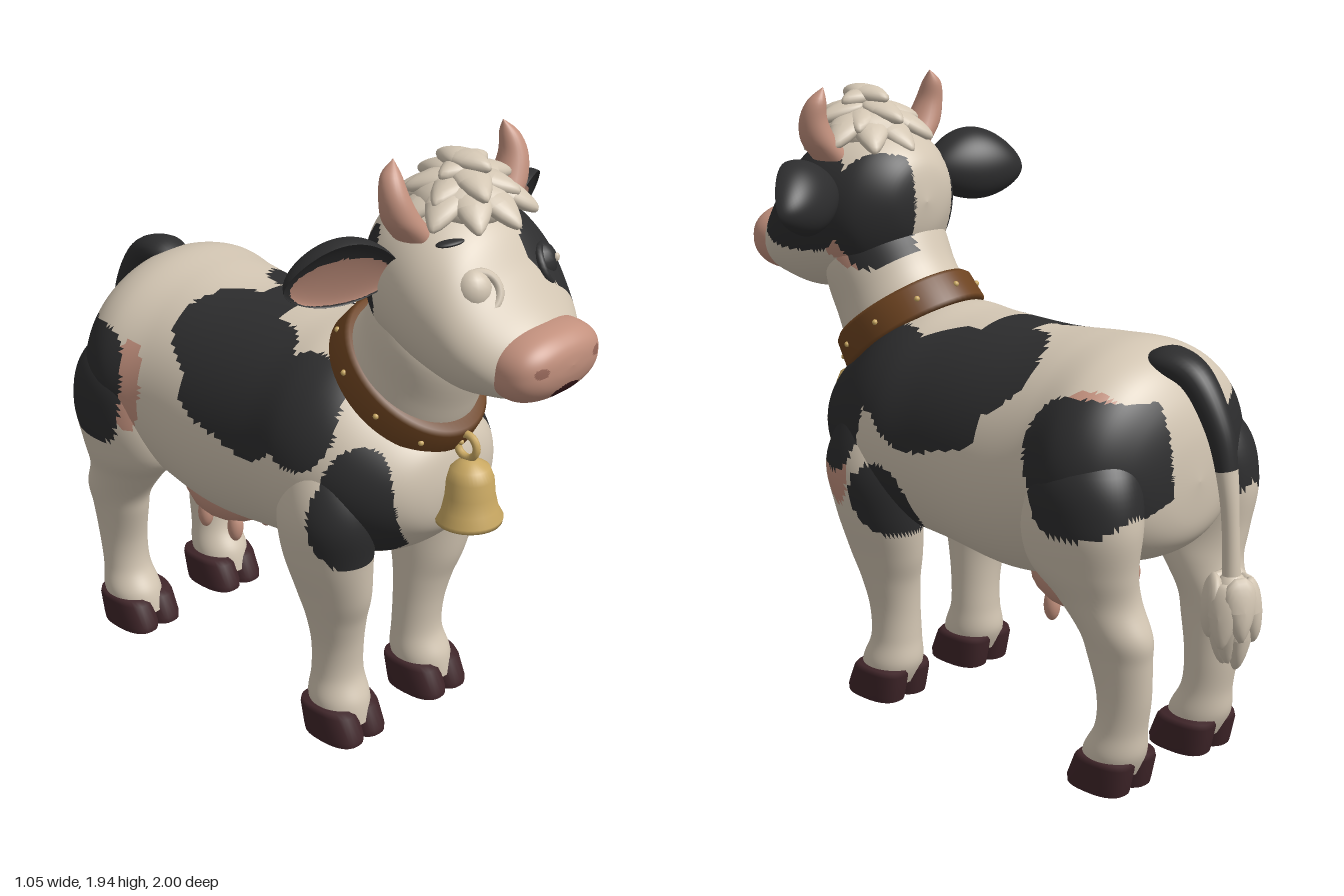
import * as THREE from 'three';

const mat = (name, color) => Object.assign(new THREE.MeshStandardMaterial({ color }), { name });
const cream = mat('cream hide', 0xd3c6b3), black = mat('black hide', 0x2d2d2e), pink = mat('pink skin', 0xc3917e),
  hoofMat = mat('hoof brown', 0x3f2529), leather = mat('collar leather', 0x6d4320), brass = mat('bell brass', 0xc9a862),
  mouthMat = mat('mouth dark', 0x3a1a1d), nostrilMat = mat('nostril', 0x9a6a5c);
const HIDE = [cream, black, pink];

// Smooth skin over elliptical rings [x, y, z, halfWidth, halfDepth, tiltDegrees]
function loft(sections, ring = 32, sub = 6, power = 1) {
  const pos = [], idx = [], rows = [], n = sections.length;
  const at = i => sections[Math.max(0, Math.min(n - 1, i))];
  for (let i = 0; i < n - 1; i++) for (let k = 0; k < sub; k++) {
    const t = k / sub, [p0, p1, p2, p3] = [at(i - 1), at(i), at(i + 1), at(i + 2)];
    rows.push(p1.map((b, c) => b + 0.5 * t * (p2[c] - p0[c] + t * (2 * p0[c] - 5 * b + 4 * p2[c] - p3[c]
      + t * (3 * (b - p2[c]) + p3[c] - p0[c])))));
  }
  rows.push(at(n - 1));
  const bend = v => Math.sign(v) * Math.abs(v) ** power;
  rows.forEach(([x, y, z, a, b, tilt], i) => {
    const r = tilt * Math.PI / 180;
    for (let j = 0; j < ring; j++) {
      const th = j / ring * Math.PI * 2;
      const u = Math.max(a, 0) * bend(Math.cos(th)), v = Math.max(b, 0) * bend(Math.sin(th));
      pos.push(x + u, y + v * Math.cos(r), z + v * Math.sin(r));
      if (i < rows.length - 1) {
        const p = i * ring + j, q = i * ring + (j + 1) % ring;
        idx.push(p, q, p + ring, q, q + ring, p + ring);
      }
    }
  });
  const g = new THREE.BufferGeometry();
  g.setAttribute('position', new THREE.Float32BufferAttribute(pos, 3));
  g.setIndex(idx);
  g.computeVertexNormals();
  return g;
}

// Sorts triangles into material groups by a rule on their centres
function paint(g, rule) {
  const p = g.attributes.position, old = g.index.array, buckets = [[], [], []];
  for (let i = 0; i < old.length; i += 3) {
    const t = [old[i], old[i + 1], old[i + 2]];
    const mid = f => t.reduce((s, v) => s + p[f](v), 0) / 3;
    buckets[rule(mid('getX'), mid('getY'), mid('getZ'))].push(...t);
  }
  g.setIndex(buckets.flat());
  let start = 0;
  buckets.forEach((b, m) => { g.addGroup(start, b.length, m); start += b.length; });
  return g;
}

// Hide patches: [side (0 = both), z, y, radiusZ, radiusY, colour, optional x and radiusX]
const BODY_PATCHES = [
  [0, 0.0, 1.09, 0.24, 0.17, 1], [0, -0.17, 1.18, 0.18, 0.14, 1, 0.2, 0.22], [0, 0.2, 1.12, 0.15, 0.12, 1],
  [0, -0.1, 1.28, 0.08, 0.05, 1], [1, 0.38, 1.0, 0.14, 0.21, 1], [1, 0.18, 0.72, 0.1, 0.125, 1],
  [1, -0.62, 1.01, 0.2, 0.2, 1], [-1, 0.45, 0.84, 0.1, 0.2, 1], [-1, 0.27, 1.05, 0.1, 0.12, 1],
  [-1, -0.62, 0.95, 0.17, 0.21, 1], [1, 0.36, 0.8, 0.06, 0.12, 2], [1, -0.6, 1.12, 0.1, 0.1, 2],
  [-1, -0.45, 0.97, 0.06, 0.14, 2],
];
const HEAD_PATCHES = [
  [1, 0.66, 1.59, 0.215, 0.185, 1, 0.25, 0.26], [1, 0.39, 1.56, 0.12, 0.17, 1], [-1, 0.42, 1.57, 0.06, 0.13, 1],
  [1, 0.44, 1.45, 0.1, 0.06, 2],
];
const hide = (patches, gap) => (x, y, z) => {
  for (const [side, pz, py, rz, ry, m, px = 0, rx = Infinity] of patches) {
    if (side && x * side < gap) continue;
    const wobble = 0.1 * Math.sin(17 * z + 3) * Math.sin(15 * y);
    if (Math.hypot((z - pz) / rz, (y - py) / ry, (Math.abs(x) - px) / rx) + wobble < 1) return m;
  }
  return 0;
};
const bodyHide = hide(BODY_PATCHES, 0.11), headHide = hide(HEAD_PATCHES, 0.045);

export function createModel() {
  const cow = new THREE.Group();
  cow.name = 'cow';
  const add = (name, geo, material, parent = cow) => {
    const m = new THREE.Mesh(geo, material);
    m.name = name;
    parent.add(m);
    return m;
  };
  const blob = (name, material, x, y, z, sx, sy, sz) => {
    const m = add(name, new THREE.SphereGeometry(1, 18, 12), material);
    m.position.set(x, y, z);
    m.scale.set(sx, sy, sz);
    return m;
  };

  // Torso, from rump to chest
  add('torso', paint(loft([
    [0, 0.93, -0.785, 0, 0, 0], [0, 0.93, -0.77, 0.14, 0.14, 0], [0, 0.95, -0.73, 0.26, 0.23, 0],
    [0, 0.97, -0.66, 0.35, 0.295, 0], [0, 0.97, -0.55, 0.393, 0.335, 0], [0, 0.93, -0.4, 0.37, 0.37, 0],
    [0, 0.9, -0.2, 0.37, 0.38, 0], [0, 0.91, 0.05, 0.36, 0.37, 0], [0, 0.92, 0.2, 0.37, 0.365, 0],
    [0, 0.915, 0.32, 0.35, 0.335, 0], [0, 0.89, 0.45, 0.3, 0.255, 0], [0, 0.89, 0.54, 0.23, 0.185, 0],
    [0, 0.89, 0.59, 0.14, 0.12, 0], [0, 0.89, 0.615, 0, 0, 0]], 136, 9), bodyHide), HIDE);
  add('neck', paint(loft([
    [0, 0.93, 0.2, 0.28, 0.28, -45], [0, 1.05, 0.31, 0.24, 0.255, -50], [0, 1.17, 0.385, 0.21, 0.23, -53],
    [0, 1.27, 0.45, 0.2, 0.21, -53], [0, 1.42, 0.52, 0.2, 0.19, -53], [0, 1.5, 0.55, 0.1, 0.1, -53]], 72, 7), headHide), HIDE);

  // Head, and muzzle with mouth and nostrils
  add('head', paint(loft([
    [0, 1.58, 0.315, 0, 0, 0], [0, 1.58, 0.34, 0.12, 0.12, 0], [0, 1.555, 0.42, 0.215, 0.22, 0],
    [0, 1.55, 0.52, 0.255, 0.25, 0], [0, 1.53, 0.62, 0.27, 0.26, 0], [0, 1.49, 0.72, 0.262, 0.24, 0],
    [0, 1.44, 0.8, 0.235, 0.18, 0], [0, 1.4, 0.87, 0.185, 0.125, 0], [0, 1.39, 0.93, 0.1, 0.07, 0]], 112, 8), headHide), HIDE);
  add('muzzle', paint(loft([
    [0, 1.39, 0.82, 0.14, 0.09, 0], [0, 1.39, 0.855, 0.176, 0.105, 0], [0, 1.39, 0.905, 0.181, 0.108, 0],
    [0, 1.395, 0.95, 0.166, 0.094, 0], [0, 1.4, 0.98, 0.13, 0.068, 0], [0, 1.405, 0.995, 0.075, 0.036, 0],
    [0, 1.405, 1, 0, 0, 0]], 96, 8, 0.84), (x, y, z) => {
    if (z < 0.88) return 0;
    if (Math.hypot(x / 0.055, (y - 1.325) / 0.024) < 1) return 1;
    return Math.hypot((Math.abs(x) - 0.115) / 0.022, (y - 1.41) / 0.015) < 1 ? 2 : 0;
  }), [pink, mouthMat, nostrilMat]);

  // Leaf-shaped lock of hair, pointing along +z
  const lockGeo = new THREE.SphereGeometry(1, 14, 12);
  const lp = lockGeo.attributes.position;
  for (let i = 0; i < lp.count; i++) lp.setX(i, lp.getX(i) * (1 - 0.5 * lp.getZ(i)));
  lockGeo.computeVertexNormals();
  const locks = (name, x, y, z, rings) => {
    const g = new THREE.Group();
    g.name = name;
    g.position.set(x, y, z);
    cow.add(g);
    rings.forEach(([n, r, h, pitch, w, t, len], k) => {
      for (let i = 0; i < n; i++) {
        const turn = new THREE.Group();
        turn.rotation.y = (i + k * 0.5) / n * Math.PI * 2;
        g.add(turn);
        const m = add('lock', lockGeo, cream, turn);
        m.position.set(0, h + 0.012 * Math.sin(i * 2.4), r);
        m.rotation.x = pitch;
        m.scale.set(w, t, len);
      }
    });
  };
  locks('forelock', 0.01, 1.79, 0.575, [
    [10, 0.14, -0.005, 0.55, 0.052, 0.027, 0.085], [7, 0.085, 0.045, 0.3, 0.05, 0.027, 0.085],
    [4, 0.03, 0.09, 0.1, 0.045, 0.027, 0.07]]);
  blob('hairBase', cream, 0.01, 1.78, 0.575, 0.15, 0.085, 0.15);

  // Cupped ear with a pink inside
  const earGeo = new THREE.SphereGeometry(1, 64, 40);
  const ep = earGeo.attributes.position;
  for (let i = 0; i < ep.count; i++) {
    const x = ep.getX(i), z = ep.getZ(i);
    ep.setXYZ(i, x * 0.172, ep.getY(i) * 0.118 * (1 - 0.25 * x * x) - 0.02 * x * x, (z > 0 ? -z * 0.2 : z) * 0.095);
  }
  earGeo.computeVertexNormals();
  paint(earGeo, (x, y, z) => (x / 0.172) ** 2 + ((y + 0.032) / 0.092) ** 2 < 0.76 && z > -0.0195 ? 2 : 1);

  const legTilt = rows => rows.map(r => [...r, 90]);
  for (const s of [1, -1]) {
    const side = s > 0 ? 'left' : 'right';
    const flip = rows => rows.map(([x, ...r]) => [x * s, ...r]);

    const ear = new THREE.Group();
    ear.name = side + 'Ear';
    ear.scale.x = s;
    cow.add(ear);
    const earMesh = add('ear', earGeo, HIDE, ear);
    earMesh.position.set(0.37, 1.625, 0.485);
    earMesh.rotation.set(0.4, 0.4, -0.03, 'YXZ');

    add(side + 'Horn', loft(flip([
      [0.17, 1.71, 0.56, 0.06, 0.062, -90], [0.222, 1.77, 0.56, 0.055, 0.058, -90], [0.248, 1.84, 0.555, 0.042, 0.045, -90],
      [0.246, 1.9, 0.54, 0.028, 0.03, -90], [0.228, 1.94, 0.53, 0, 0, -90]]), 24, 5), pink);

    // Eye and lid
    const eyeMat = s > 0 ? black : cream;
    blob(side + 'Eye', eyeMat, s * 0.14, 1.595, 0.748, 0.056, 0.062, 0.055);
    const lid = add(side + 'Eyelid', new THREE.TorusGeometry(0.056, 0.013, 8, 28), eyeMat);
    lid.position.set(s * 0.142, 1.595, 0.778);
    lid.rotation.set(-0.5, s * 0.5, 0);

    // Legs
    add(side + 'FrontLeg', paint(loft(legTilt(flip([
      [0.2, 1.08, 0.29, 0.03, 0.03], [0.222, 0.95, 0.3, 0.118, 0.12], [0.247, 0.8, 0.31, 0.138, 0.165],
      [0.24, 0.65, 0.3, 0.123, 0.155], [0.213, 0.5, 0.3, 0.102, 0.13], [0.197, 0.4, 0.297, 0.088, 0.1],
      [0.185, 0.3, 0.292, 0.078, 0.084], [0.182, 0.2, 0.29, 0.08, 0.082], [0.187, 0.12, 0.302, 0.092, 0.1],
      [0.19, 0.05, 0.32, 0.085, 0.09]])), 64, 7), bodyHide), HIDE);
    add(side + 'HindLeg', paint(loft(legTilt(flip([
      [0.2, 1.14, -0.58, 0.03, 0.03], [0.245, 1.0, -0.57, 0.135, 0.165], [0.266, 0.85, -0.57, 0.14, 0.2],
      [0.258, 0.7, -0.565, 0.122, 0.188], [0.237, 0.6, -0.61, 0.105, 0.14], [0.225, 0.5, -0.667, 0.09, 0.12],
      [0.215, 0.42, -0.677, 0.08, 0.105], [0.203, 0.3, -0.685, 0.074, 0.086], [0.2, 0.2, -0.675, 0.076, 0.08],
      [0.2, 0.12, -0.652, 0.09, 0.098], [0.195, 0.05, -0.63, 0.085, 0.09]])), 64, 7), bodyHide), HIDE);

    // Cloven hooves, two toes each
    for (const [name, z] of [['Front', 0.3], ['Hind', -0.65]]) for (const toe of [-0.047, 0.047]) {
      const x = s * 0.19 + toe, w = 0.062;
      add(side + name + 'Hoof', loft([
        [x, 0.11, z, 0, 0, 90], [x, 0.107, z, w * 0.88, 0.09, 90], [x, 0.09, z + 0.006, w * 0.96, 0.1, 90],
        [x, 0.02, z + 0.028, w, 0.106, 90], [x, 0, z + 0.03, w * 0.97, 0.103, 90],
        [x, 0, z + 0.03, w * 0.97, 0.103, 90], [x, 0, z + 0.03, 0, 0, 90]], 28, 1, 0.8), hoofMat);
    }

    // Teats
    for (const z of [-0.28, -0.42]) blob('teat', pink, s * 0.07, 0.43, z, 0.026, 0.052, 0.026);
  }
  blob('rightBrow', black, -0.15, 1.715, 0.675, 0.045, 0.009, 0.022).rotation.set(0, -0.4, 0.1);
  blob('eyeGlint', cream, 0.165, 1.615, 0.794, 0.01, 0.013, 0.008);
  blob('udder', pink, 0, 0.555, -0.35, 0.155, 0.135, 0.18);

  // Tail and tassel
  add('tail', paint(loft([
    [0, 1.24, -0.58, 0.05, 0.04, 170], [0, 1.268, -0.66, 0.068, 0.045, 165], [0, 1.23, -0.765, 0.055, 0.045, 140],
    [0, 1.1, -0.848, 0.042, 0.04, 110], [0, 0.95, -0.885, 0.032, 0.03, 100], [0, 0.8, -0.9, 0.025, 0.026, 95],
    [0, 0.62, -0.91, 0.028, 0.028, 90]], 24, 8), (x, y) => (y > 0.99 ? 1 : 0)), HIDE);
  locks('tailTassel', 0, 0.56, -0.91, [
    [7, 0.057, 0.02, 1.5, 0.046, 0.032, 0.1], [5, 0.035, -0.05, 1.72, 0.042, 0.03, 0.11]]);
  blob('tasselCore', cream, 0, 0.57, -0.91, 0.065, 0.12, 0.065);

  // Collar with studs
  const band = [[-0.055, 0.2], [-0.055, 0.238], [-0.042, 0.248], [0.042, 0.24], [0.055, 0.228], [0.055, 0.19]];
  add('collar', loft(band.map(([d, r]) => [0, 1.185 + d * 0.8, 0.4 + d * 0.6, r - 0.022, r + 0.015, -53]), 64, 1), leather);
  for (let i = 0; i < 10; i++) {
    const a = (i + 0.5) / 10 * Math.PI * 2, v = 0.259 * Math.sin(a);
    blob('collarStud', brass, 0.222 * Math.cos(a), 1.185 + v * 0.6, 0.4 - v * 0.8, 0.009, 0.009, 0.009);
  }

  // Bell
  const profile = [[0, 0.8], [0.085, 0.795], [0.1, 0.79], [0.103, 0.805], [0.087, 0.835], [0.077, 0.88], [0.072, 0.93],
    [0.058, 0.965], [0.025, 0.985], [0, 0.988]].map(p => new THREE.Vector2(...p));
  add('bell', new THREE.LatheGeometry(profile, 36), brass).position.z = 0.645;
  blob('clapper', brass, 0, 0.795, 0.645, 0.03, 0.03, 0.03);
  const loop = add('bellLoop', new THREE.TorusGeometry(0.037, 0.012, 8, 24), brass);
  loop.position.set(0, 1.025, 0.63);
  loop.rotation.y = Math.PI / 2;
  return cow;
}
